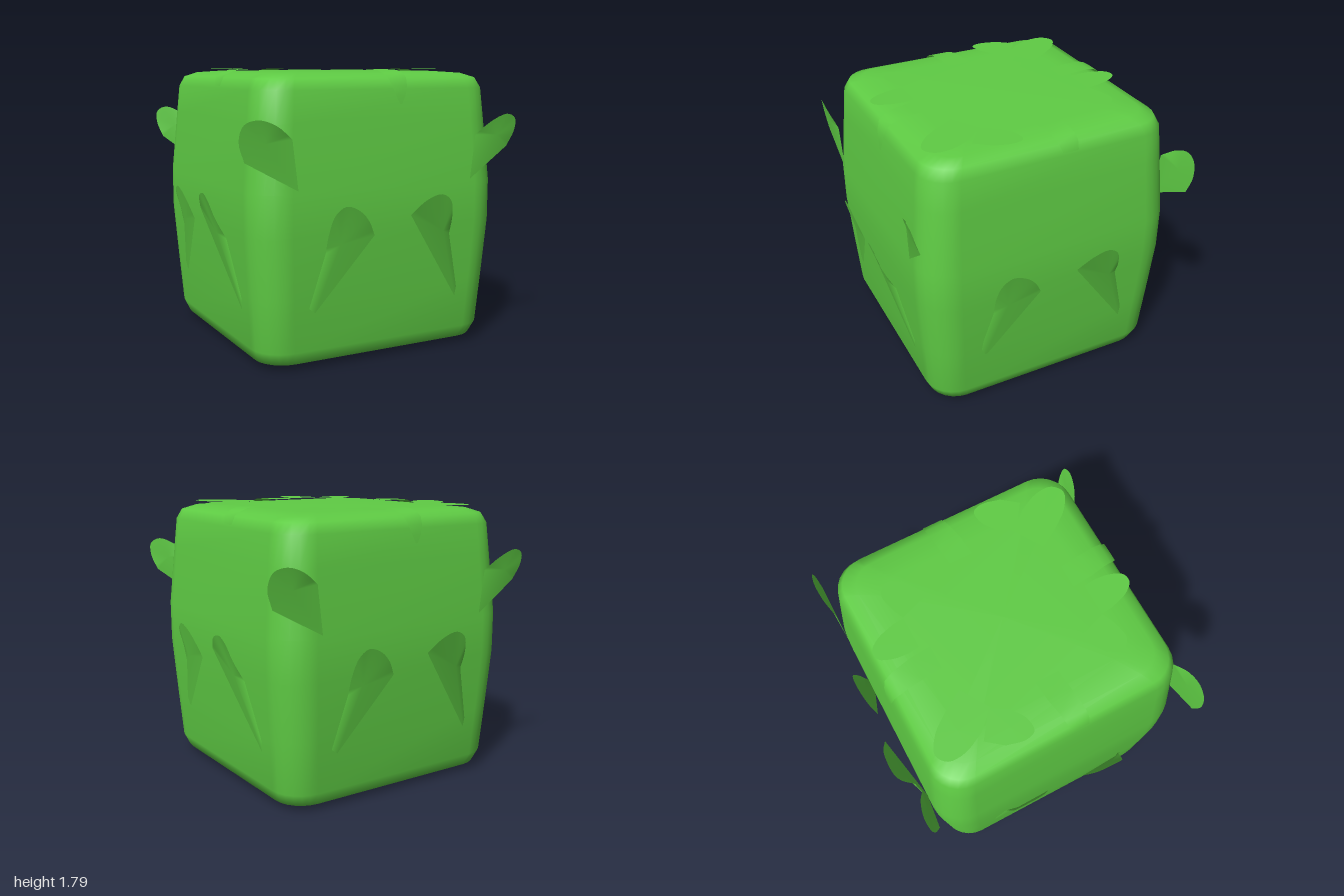
import * as THREE from 'three';

const green = new THREE.MeshStandardMaterial({ color: 0x5fcc44, side: THREE.DoubleSide });
green.name = 'leafGreen';

function makeMesh(name, positions, index) {
  const g = new THREE.BufferGeometry();
  g.setAttribute('position', new THREE.Float32BufferAttribute(positions, 3));
  g.setIndex(index);
  g.computeVertexNormals();
  const m = new THREE.Mesh(g, green);
  m.name = name;
  return m;
}

// Bulging cube: rounded-square rings stacked up the height
function bush() {
  const profile = [ // half width, height
    [0.55, 0.002], [0.69, 0.013], [0.775, 0.04], [0.81, 0.12], [0.835, 0.45], [0.861, 0.82],
    [0.861, 1.08], [0.825, 1.48], [0.807, 1.67], [0.775, 1.735], [0.7, 1.763], [0.55, 1.775]];
  const seg = 6, n = 4 * (seg + 1), pos = [], idx = [];
  for (const [h, y] of profile) {
    const r = Math.max(0.1, 0.22 - (0.861 - h) * 0.4);
    for (let c = 0; c < 4; c++) for (let i = 0; i <= seg; i++) {
      const a = (c + i / seg) * Math.PI / 2, q = (c + 0.5) * Math.PI / 2;
      pos.push(Math.sign(Math.cos(q)) * (h - r) + r * Math.cos(a), y,
        Math.sign(Math.sin(q)) * (h - r) + r * Math.sin(a));
    }
  }
  for (let j = 0; j < profile.length - 1; j++) for (let i = 0; i < n; i++) {
    const a = j * n + i, b = j * n + (i + 1) % n;
    idx.push(a, a + n, b, b, a + n, b + n);
  }
  // Bottom and top caps
  const top = (profile.length - 1) * n, c0 = pos.length / 3;
  pos.push(0, 0, 0, 0, 1.775, 0);
  for (let i = 0; i < n; i++) {
    const k = (i + 1) % n;
    idx.push(c0, i, k, c0 + 1, top + k, top + i);
  }
  return makeMesh('bushBody', pos, idx);
}

// Leaf blade: sharp stem corners, then a rounded tip, fanned from the middle
function leaf(name, stem, tip) {
  const v = p => new THREE.Vector3(...p);
  const pts = [...stem.map(v), ...new THREE.CatmullRomCurve3(tip.map(v), false, 'centripetal').getPoints(20)];
  const mid = new THREE.Vector3();
  [...stem, ...tip].forEach(p => mid.add(v(p)));
  mid.divideScalar(stem.length + tip.length);
  const pos = [mid, ...pts].flatMap(p => p.toArray()), idx = [];
  for (let i = 0; i < pts.length; i++) idx.push(0, 1 + i, 1 + (i + 1) % pts.length);
  return makeMesh(name, pos, idx);
}

// Leaf that lies on top and folds down over the front edge
function drapedLeaf() {
  const rows = [ // left x, right x, y, z
    [-0.03, 0.12, 1.787, 0.47], [-0.02, 0.135, 1.787, 0.6], [0, 0.145, 1.783, 0.7],
    [0.01, 0.15, 1.765, 0.755], [0.02, 0.15, 1.74, 0.795], [0.04, 0.145, 1.69, 0.816],
    [0.065, 0.13, 1.63, 0.824], [0.09, 0.105, 1.58, 0.828]];
  const pos = [], idx = [];
  rows.forEach(([a, b, y, z], i) => {
    pos.push(a, y, z, b, y, z);
    if (i) { const k = 2 * i; idx.push(k - 2, k, k - 1, k - 1, k, k + 1); }
  });
  return makeMesh('drapedLeaf', pos, idx);
}

export function createModel() {
  const model = new THREE.Group();
  model.name = 'cubeBush';
  model.add(bush());

  // Leaves shared by all four sides
  for (let k = 0; k < 4; k++) {
    const side = new THREE.Group();
    side.name = 'sideLeaves' + (k + 1);
    side.rotation.y = k * Math.PI / 2;
    if (k % 2) side.scale.z = 0.98;
    const out = k % 2 ? 0.008 : 0;
    side.add(
      leaf('lowRightLeaf', [[-0.49, 0.36, 0.835 + out], [-0.53, 0.39, 0.835 + out]],
        [[-0.44, 0.72, 0.872 + out], [-0.435, 0.84, 0.905], [-0.41, 0.96, 0.945], [-0.345, 1.005, 0.955],
          [-0.25, 0.97, 0.95], [-0.18, 0.9, 0.935], [-0.13, 0.81, 0.91]]),
      leaf('lowLeftLeaf', [[0.53, 0.4, 0.838 + out], [0.52, 0.34, 0.835 + out]],
        [[0.1, 0.92, 0.95], [0.19, 1.01, 0.99], [0.29, 1.04, 1], [0.36, 1.0, 0.995],
          [0.395, 0.9, 0.965], [0.42, 0.77, 0.9]]));
    const drape = drapedLeaf();
    side.add(drape);
    model.add(side);
  }

  // Leaves repeated on opposite halves
  const flat = p => [p[0], 1.787, p[1]];
  for (let k = 0; k < 2; k++) {
    const half = new THREE.Group();
    half.name = k ? 'backLeaves' : 'frontLeaves';
    half.rotation.y = k * Math.PI;
    half.add(
      leaf('highRightLeaf', [[-0.61, 1.1, 0.863]],
        [[-0.94, 1.28, 0.862], [-0.977, 1.4, 0.875], [-0.95, 1.49, 0.89], [-0.87, 1.515, 0.905],
          [-0.76, 1.48, 0.9], [-0.65, 1.4, 0.87]]),
      leaf('highLeftLeaf', [[0.6, 1.1, 0.863]],
        [[0.62, 1.38, 0.88], [0.7, 1.46, 0.925], [0.81, 1.51, 0.95], [0.88, 1.48, 0.945],
          [0.89, 1.4, 0.925], [0.86, 1.3, 0.89]]),
      leaf('topFrontLeaf', [[-0.06, 0.53], [-0.265, 0.53]].map(flat),
        [[-0.26, 0.6], [-0.22, 0.72], [-0.16, 0.785], [-0.1, 0.775], [-0.06, 0.69], [-0.05, 0.6]].map(flat)),
      leaf('topRightLeaf', [[-0.27, 0.53], [-0.34, 0.33]].map(flat),
        [[-0.49, 0.43], [-0.525, 0.52], [-0.47, 0.58], [-0.37, 0.57], [-0.28, 0.535]].map(flat)),
      leaf('topCornerLeaf', [[0.29, 0.44], [0.47, 0.33]].map(flat),
        [[0.58, 0.45], [0.64, 0.58], [0.64, 0.69], [0.57, 0.74], [0.46, 0.68], [0.37, 0.57]].map(flat)),
      leaf('topLeftLeaf', [[0.63, 0.46], [0.47, 0.345]].map(flat),
        [[0.53, 0.24], [0.62, 0.18], [0.71, 0.175], [0.735, 0.24], [0.71, 0.36]].map(flat)));
    model.add(half);
  }
  return model;
}
